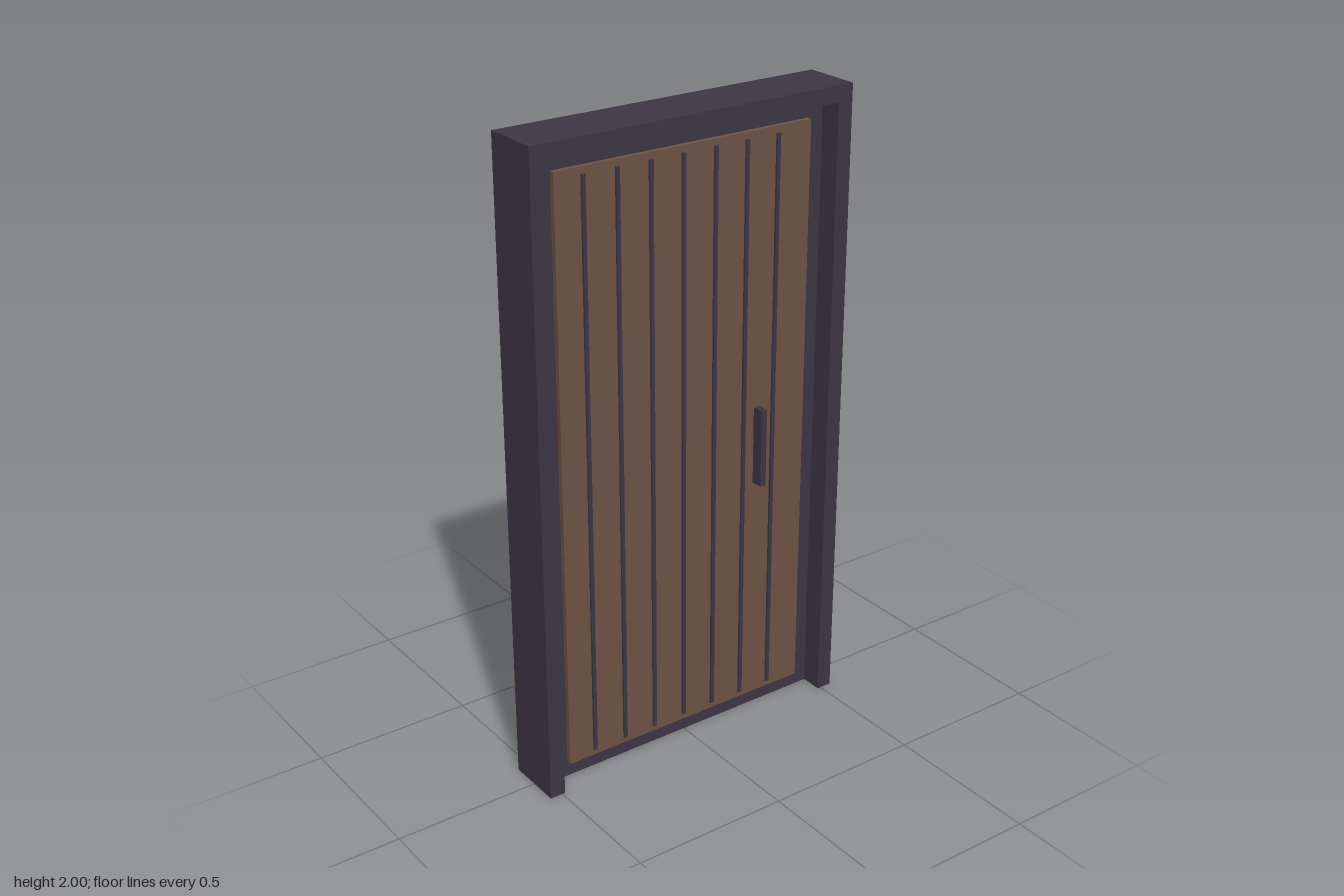
import * as THREE from 'three';

export function createModel() {
  const door = new THREE.Group();
  door.name = 'door';

  const darkMetal = new THREE.MeshStandardMaterial({ color: 0x3d3646 });
  darkMetal.name = 'dark metal';
  const brownWood = new THREE.MeshStandardMaterial({ color: 0x6d5243 });
  brownWood.name = 'brown wood';

  // Box given by its extents on each axis
  function addBox(name, material, [x0, x1], [y0, y1], [z0, z1]) {
    const mesh = new THREE.Mesh(new THREE.BoxGeometry(x1 - x0, y1 - y0, z1 - z0), material);
    mesh.position.set((x0 + x1) / 2, (y0 + y1) / 2, (z0 + z1) / 2);
    mesh.name = name;
    door.add(mesh);
  }

  // Surround: two posts and a head in one outline, open at the bottom
  const halfWidth = 0.54, opening = 0.49, head = 1.95, halfDepth = 0.092;
  const outline = new THREE.Shape([
    [-halfWidth, 0], [-opening, 0], [-opening, head], [opening, head],
    [opening, 0], [halfWidth, 0], [halfWidth, 2], [-halfWidth, 2],
  ].map(([x, y]) => new THREE.Vector2(x, y)));
  const frameGeometry = new THREE.ExtrudeGeometry(outline, { depth: 2 * halfDepth, bevelEnabled: false });
  frameGeometry.translate(0, 0, -halfDepth);
  const frame = new THREE.Mesh(frameGeometry, darkMetal);
  frame.name = 'frame';
  door.add(frame);

  // Leaf set back in the frame, with a raised wooden panel
  addBox('leaf', darkMetal, [-opening, opening], [0, head], [-0.057, 0.022]);
  addBox('woodPanel', brownWood, [-0.435, 0.435], [0.05, 1.9], [0.022, 0.038]);

  // Upright strips between the boards
  for (let i = 0; i < 7; i++) {
    const x = -0.345 + i * 0.11;
    addBox('strip', darkMetal, [x - 0.006, x + 0.006], [0.07, 1.88], [0.03, 0.045]);
  }

  // Pull handle
  addBox('handle', darkMetal, [0.246, 0.266], [0.8, 1.05], [0.03, 0.076]);

  return door;
}
